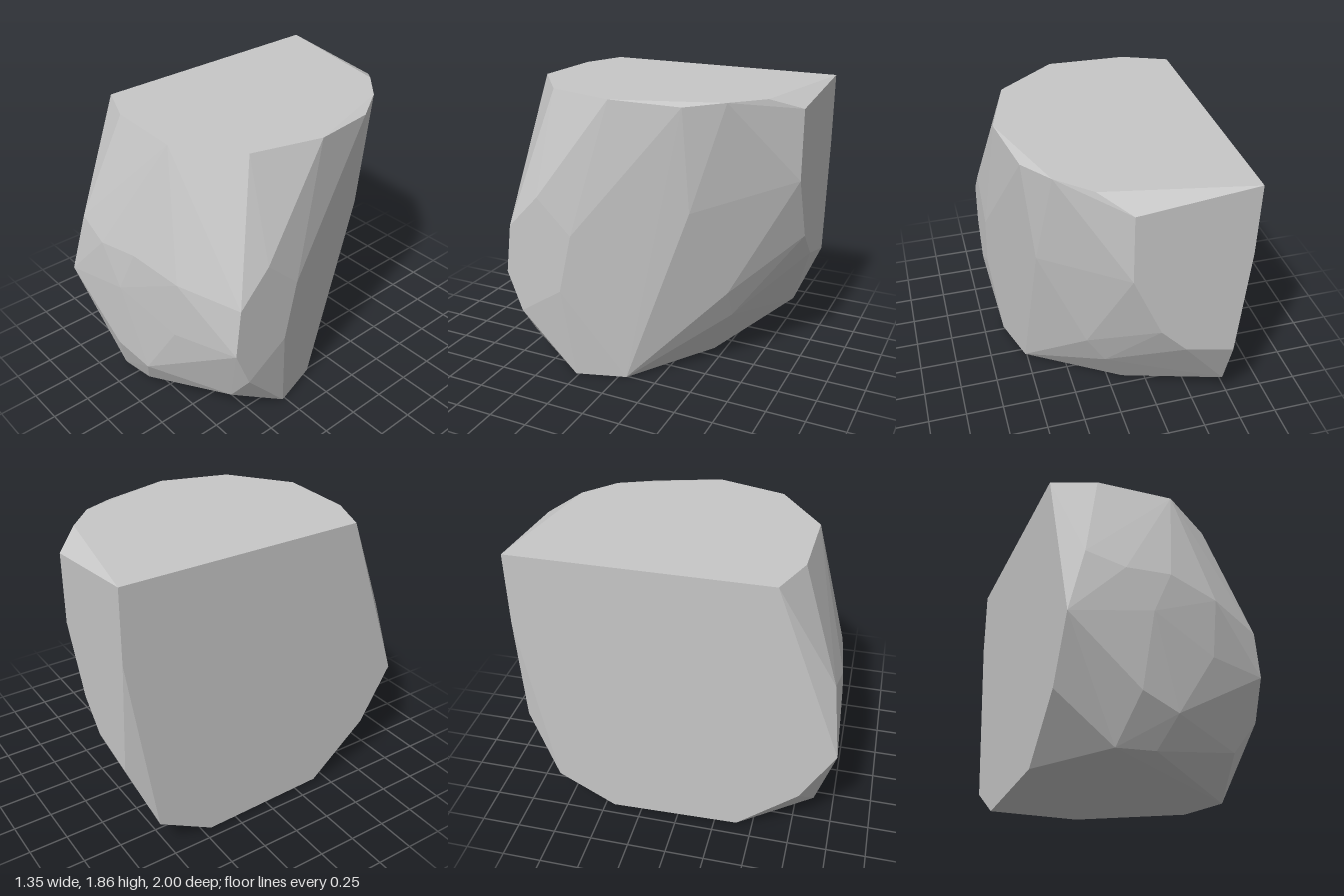
import * as THREE from 'three';
import { ConvexGeometry } from 'three/addons/geometries/ConvexGeometry.js';

// Faceted boulder: the convex hull of its corner points, sliced flat on several sides
export function createModel() {
  const group = new THREE.Group();
  group.name = 'boulder';
  const stone = new THREE.MeshStandardMaterial({ color: 0xc7c7c7 });
  stone.name = 'light grey stone';
  const L = -0.678, R = 0.676, T = 1.86; // flat cut planes

  // rim of the flat top
  const top = [
    [L, T, -1], [0.2, T, -0.83], [0.395, T, -0.65], [0.53, 1.84, -0.43], [0.605, T, 0],
    [0.475, T, 0.44], [0.1, T, 0.72], [-0.4, T, 0.7], [L, T, 0.585],
  ];
  // flat cut on the left of the front view
  const sideCut = [
    [L, 0.73, 1], [L, 0.36, 0.79], [L, 0.025, 0.4], [L, 0, -0.44], [L, 0.21, -0.81], [L, 1.4, -1],
  ];
  // flat cut at the back
  const backCut = [
    [0.035, 1.785, -1], [0.03, 1.34, -1], [-0.155, 0.92, -1], [-0.32, 0.74, -1], [-0.63, 0.66, -1],
  ];
  // small flat cut on the opposite side, and the bulge behind it
  const smallCut = [
    [R, 1.22, 0.47], [R, 1, 0.68], [R, 0.68, 0.72], [R, 0.42, 0.62], [R, 0.61, 0.33], [R, 1, 0.24],
    [0.47, 1.19, -0.46], [0.2, 0.59, -0.62], [0.075, 0.38, -0.61], [-0.05, 0.59, -0.76],
  ];
  // bulging front
  const front = [
    [-0.56, 1.17, 0.94], [-0.32, 1.1, 0.965], [-0.02, 1.14, 0.93], [0.31, 1.07, 0.86],
    [-0.15, 0.85, 0.97], [0.27, 0.68, 0.87], [-0.23, 0.35, 0.97], [0.01, 0.27, 0.92], [0.51, 0.2, 0.63],
  ];
  // underside
  const base = [
    [-0.35, 0.04, 0.87], [-0.1, 0.06, 0.85], [0.61, 0, 0.27], [0.51, 0, -0.05], [-0.1, 0, -0.43],
  ];

  const points = [top, sideCut, backCut, smallCut, front, base].flat()
    .map((p) => new THREE.Vector3(...p));
  const rock = new THREE.Mesh(new ConvexGeometry(points), stone);
  rock.name = 'rock';
  group.add(rock);
  return group;
}
